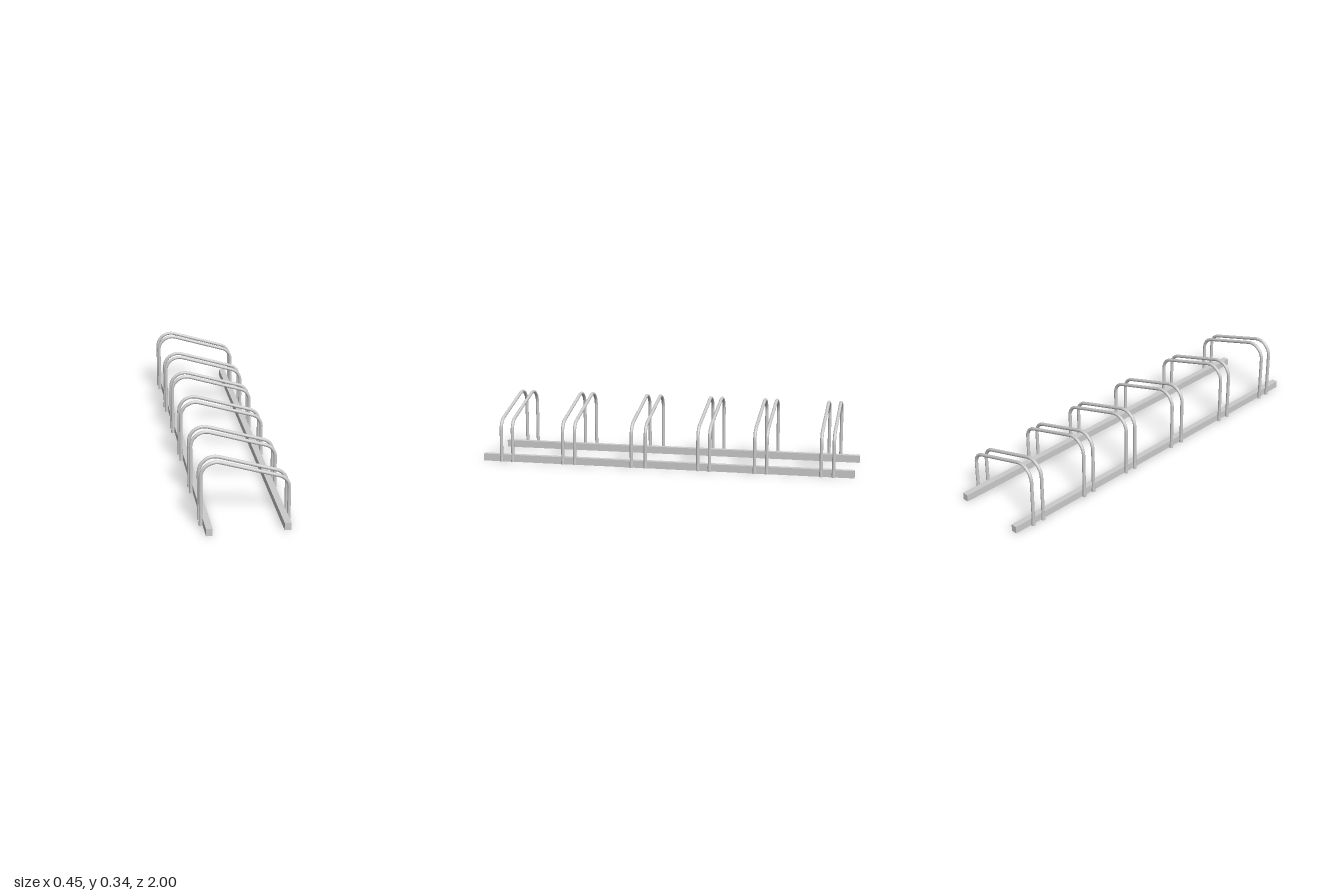
import * as THREE from 'three';

const LEG_X = 0.2145, TUBE_R = 0.0087, FOOT_Y = 0.002;
const SLOPE = Math.atan(0.314);

// Hoop centre line: tall leg, round bend, sloping bar, round bend, short leg
function hoopPath() {
  const path = new THREE.CurvePath();
  const pts = [];
  const bend = (cx, cy, r, from, to) => {
    for (let i = 0; i <= 12; i++) {
      const a = from + (to - from) * i / 12;
      pts.push(new THREE.Vector3(cx + r * Math.cos(a), cy + r * Math.sin(a), 0));
    }
  };
  pts.push(new THREE.Vector3(-LEG_X, FOOT_Y, 0));
  bend(-LEG_X + 0.075, 0.256, 0.075, Math.PI, Math.PI / 2 - SLOPE);
  bend(LEG_X - 0.07, 0.172, 0.07, Math.PI / 2 - SLOPE, 0);
  pts.push(new THREE.Vector3(LEG_X, FOOT_Y, 0));
  for (let i = 1; i < pts.length; i++) path.add(new THREE.LineCurve3(pts[i - 1], pts[i]));
  return path;
}

export function createModel() {
  const group = new THREE.Group();
  const material = new THREE.MeshStandardMaterial({ color: 0xcccccc });
  const add = (parent, name, geometry, x, y, z) => {
    const mesh = new THREE.Mesh(geometry, material);
    mesh.name = name;
    mesh.position.set(x, y, z);
    parent.add(mesh);
    return mesh;
  };

  // Two square floor rails
  const railGeo = new THREE.BoxGeometry(0.032, 0.038, 2);
  add(group, 'rightRail', railGeo, -0.189, 0.019, 0);
  add(group, 'leftRail', railGeo, 0.189, 0.019, 0);

  // Six pairs of hoops, each with pressed feet fixed to the rails
  const tubeGeo = new THREE.TubeGeometry(hoopPath(), 160, TUBE_R, 14, false);
  const footGeo = new THREE.CylinderGeometry(TUBE_R, 0.01, 0.036, 14);
  const pairs = [[-0.895, -0.831], [-0.551, -0.487], [-0.25, -0.188],
    [0.094, 0.17], [0.482, 0.548], [0.83, 0.893]];
  pairs.forEach((pair, i) => {
    const stand = new THREE.Group();
    stand.name = `wheelStand${i + 1}`;
    for (const z of pair) {
      add(stand, 'hoop', tubeGeo, 0, 0, z);
      for (const side of [-1, 1]) add(stand, 'foot', footGeo, side * LEG_X, FOOT_Y + 0.018, z);
    }
    group.add(stand);
  });
  return group;
}
